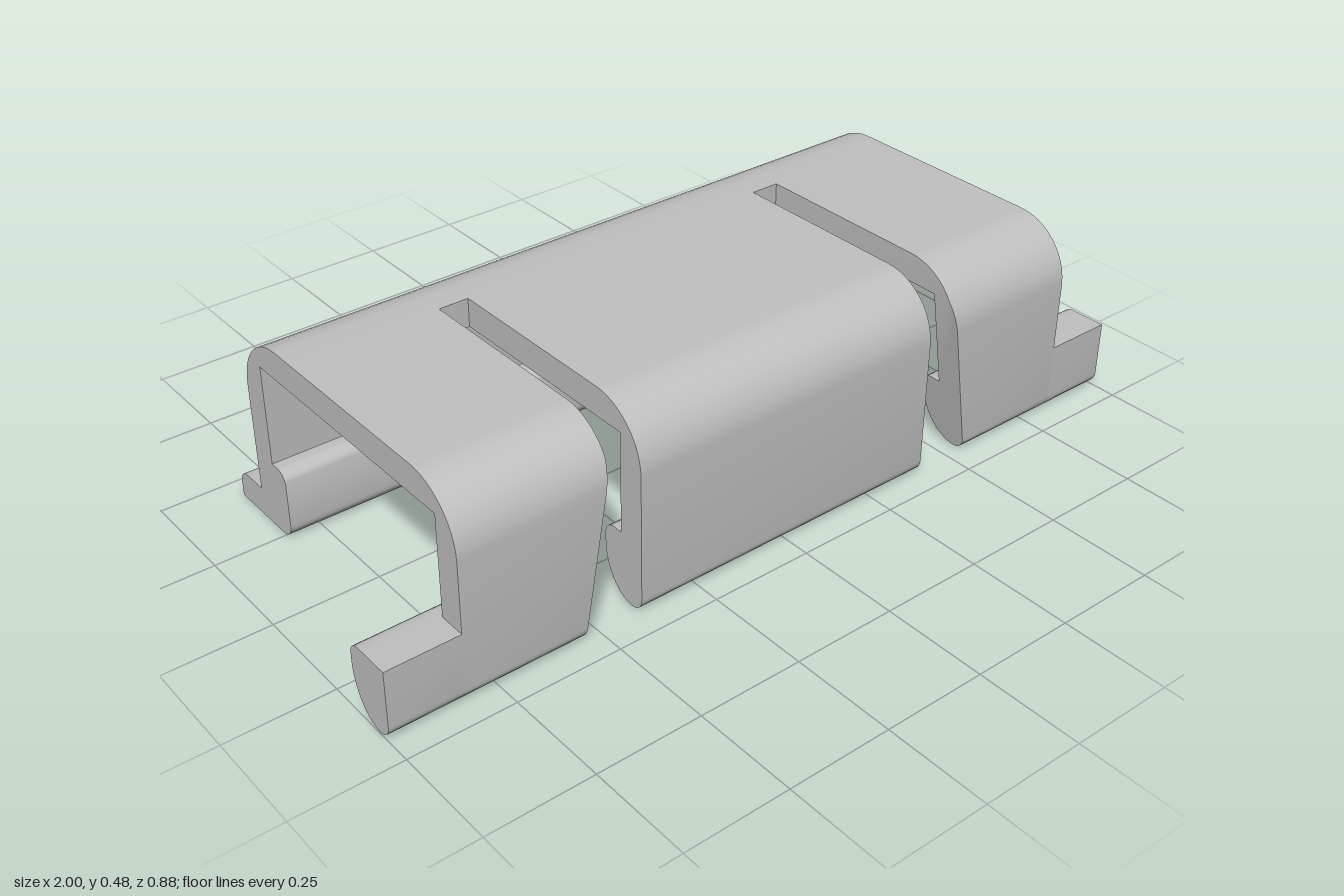
import * as THREE from 'three';
import { mergeGeometries, toCreasedNormals } from 'three/addons/utils/BufferGeometryUtils.js';

// Points along an elliptical arc in the (z, y) plane, angles in degrees
function arc(cz, cy, rz, ry, from, to, n = 8) {
  return Array.from({ length: n + 1 }, (_, i) => {
    const a = THREE.MathUtils.degToRad(from + ((to - from) * i) / n);
    return [cz + rz * Math.cos(a), cy + ry * Math.sin(a)];
  });
}

// Extrude a (z, y) cross-section along x
function extrude(points, x0, x1) {
  const shape = new THREE.Shape(points.map(([z, y]) => new THREE.Vector2(-z, y)));
  const geo = new THREE.ExtrudeGeometry(shape, { depth: x1 - x0, bevelEnabled: false });
  return geo.rotateY(Math.PI / 2).translate(x0, 0, 0);
}

const TOP = 0.48, UNDER = 0.411, FRONT = 0.442, INNER = 0.376;
const SLOT_Z = -0.145, SLOT_IN = 0.4, SLOT_OUT = 0.472, SIDE = 0.828;
const R = 0.142, CZ = FRONT - R, CY = TOP - R;
const SPLIT = THREE.MathUtils.radToDeg(Math.asin((UNDER - CY) / R));

// Rounded hook at the bottom of the front legs, from outer face to inner face
const hook = [
  [INNER, 0.17],
  ...arc(0.352, 0.142, 0.028, 0.028, 90, 180, 6),
  ...arc(0.41, 0.12, 0.086, 0.117, 180, 270, 10),
  ...arc(0.41, 0.035, 0.032, 0.032, 275, 360, 6),
];

// Back wall with its foot rail and the rear part of the roof
const backProfile = [
  [SLOT_Z, TOP],
  ...arc(-0.203, 0.336, 0.144, 0.144, 90, 180, 12),
  [-0.347, 0.07],
  ...arc(-0.41, 0.038, 0.032, 0.032, 90, 180, 6),
  [-FRONT, 0],
  ...arc(-0.261, 0.035, 0.035, 0.035, 270, 360, 6),
  ...arc(-0.256, 0.14, 0.03, 0.03, 0, 90, 6),
  [-0.278, 0.17],
  [-0.278, UNDER],
  [SLOT_Z, UNDER],
];

// Whole middle tongue: roof, rounded shoulder, leg and hook
const tongueProfile = [
  [SLOT_Z, TOP], [SLOT_Z, UNDER], [INNER, UNDER],
  ...hook,
  ...arc(CZ, CY, R, R, 0, 90, 12),
];

// Side arms are divided at the roof underside, where the taper starts
const armRoofProfile = [
  [SLOT_Z, TOP], [SLOT_Z, UNDER], [INNER, UNDER],
  ...arc(CZ, CY, R, R, SPLIT, 90, 8),
];
const armLegProfile = [
  [INNER, UNDER],
  ...hook,
  ...arc(CZ, CY, R, R, 0, SPLIT, 4),
];

// Slope the inner edge of a leg outwards towards the bottom
function taper(geo, side) {
  const p = geo.attributes.position;
  for (let i = 0; i < p.count; i++) {
    if (Math.abs(p.getX(i)) < SLOT_OUT + 0.01) {
      p.setX(i, side * (SLOT_OUT + 0.07 * (1 - p.getY(i) / UNDER)));
    }
  }
  return geo;
}

export function createModel() {
  const model = new THREE.Group();
  model.name = 'clip';
  const grey = new THREE.MeshStandardMaterial({ color: 0xc0c0c0 });
  grey.name = 'light grey';

  const add = (name, geo) => {
    const mesh = new THREE.Mesh(toCreasedNormals(geo, 0.6), grey);
    mesh.name = name;
    model.add(mesh);
  };

  add('backWallAndRail', extrude(backProfile, -SIDE, SIDE));
  add('middleTongue', extrude(tongueProfile, -SLOT_IN, SLOT_IN));

  for (const side of [-1, 1]) {
    const label = side > 0 ? 'left' : 'right';
    const span = (profile, a, b) =>
      extrude(profile, Math.min(side * a, side * b), Math.max(side * a, side * b));
    add(label + 'Arm', mergeGeometries([
      span(armRoofProfile, SLOT_OUT, SIDE),
      taper(span(armLegProfile, SLOT_OUT, SIDE), side),
    ]));
    // End tab continues the hook, closed by a flat top
    add(label + 'Tab', span([...hook, [FRONT, 0.17]], SIDE, 1));
  }
  return model;
}
